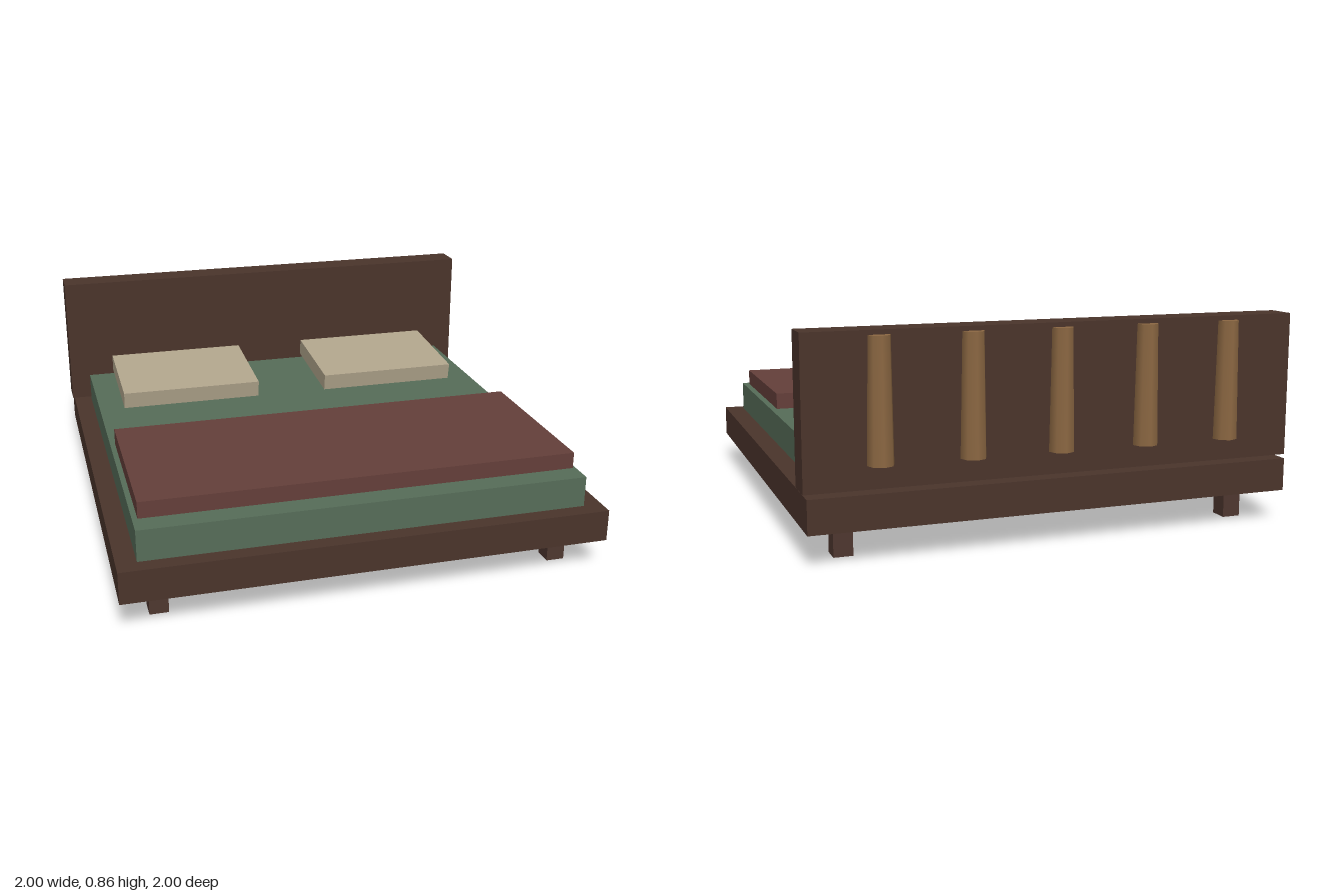
import * as THREE from 'three';

const material = (name, color) => {
  const m = new THREE.MeshStandardMaterial({ color });
  m.name = name;
  return m;
};

export function createModel() {
  const bed = new THREE.Group();
  bed.name = 'bed';

  const darkWood = material('dark wood', 0x4a342b);
  const legWood = material('leg wood', 0x4e372f);
  const lightWood = material('light wood', 0x8b6742);
  const green = material('green sheet', 0x566c58);
  const red = material('red blanket', 0x643f3a);
  const cream = material('cream pillow', 0xb2a68d);

  const add = (name, geometry, mat, x = 0, y = 0, z = 0) => {
    const mesh = new THREE.Mesh(geometry, mat);
    mesh.name = name;
    mesh.position.set(x, y, z);
    bed.add(mesh);
    return mesh;
  };

  // Box given by its lower and upper limits on each axis
  const box = (name, mat, [x0, x1], [y0, y1], [z0, z1]) =>
    add(name, new THREE.BoxGeometry(x1 - x0, y1 - y0, z1 - z0), mat,
      (x0 + x1) / 2, (y0 + y1) / 2, (z0 + z1) / 2);

  // Frame, headboard and bedding
  box('frame', darkWood, [-0.99, 0.99], [0.13, 0.263], [-0.965, 1]);
  box('headboard', darkWood, [-1, 1], [0.277, 0.858], [-0.949, -0.823]);
  box('mattress', green, [-0.91, 0.91], [0.264, 0.393], [-0.815, 0.935]);
  box('blanket', red, [-0.89, 0.89], [0.4, 0.468], [0.115, 0.853]);

  // Pillows leaning up towards the headboard, and legs
  const pillow = new THREE.BoxGeometry(0.635, 0.075, 0.465);
  const p = pillow.attributes.position;
  for (let i = 0; i < p.count; i++) {
    const y = p.getY(i), z = p.getZ(i);
    p.setY(i, y - 0.07 * z);
    p.setZ(i, z + 0.17 * y);
  }
  pillow.computeVertexNormals();

  for (const [side, s] of [['left', 1], ['right', -1]]) {
    add(`${side}Pillow`, pillow, cream, s * 0.48, 0.447, -0.541);
    for (const [end, z] of [['Front', 0.84], ['Back', -0.797]])
      add(`${side}${end}Leg`, new THREE.BoxGeometry(0.076, 0.13, 0.078), legWood, s * 0.83, 0.065, z);
  }

  // Tapered posts sunk halfway into the back of the headboard
  const post = new THREE.CylinderGeometry(0.043, 0.051, 0.475, 8);
  for (let i = -2; i <= 2; i++)
    add(`backPost${i + 3}`, post, lightWood, i * 0.356, 0.6025, -0.949);

  return bed;
}
